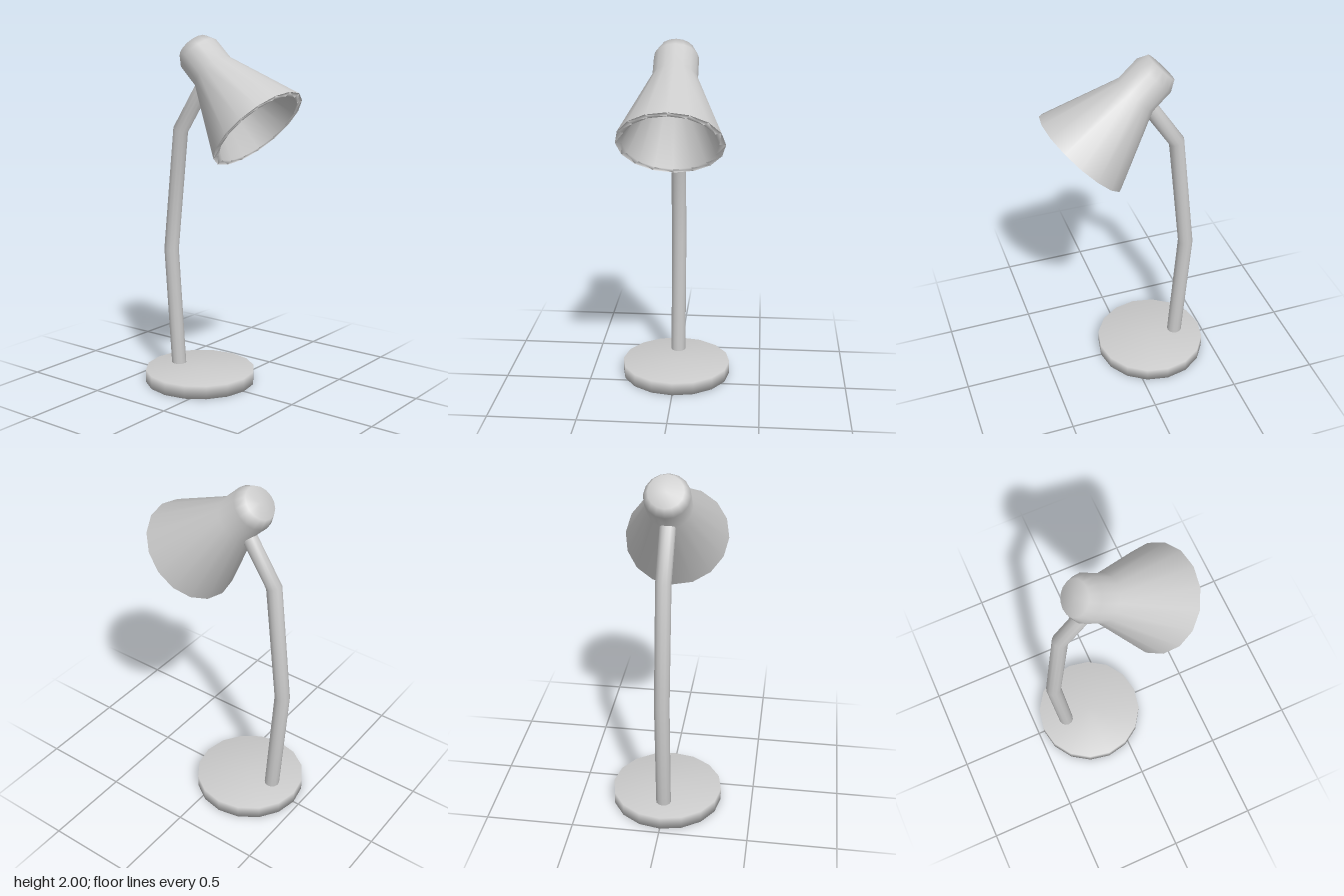
import * as THREE from 'three';
import { mergeVertices } from 'three/addons/utils/BufferGeometryUtils.js';

const SIDES = 16;
const material = new THREE.MeshStandardMaterial({ color: 0xcccccc });

// Turned part from [radius, height] pairs
function turned(name, profile) {
  const points = profile.map(([r, y]) => new THREE.Vector2(r, y));
  const mesh = new THREE.Mesh(new THREE.LatheGeometry(points, SIDES), material);
  mesh.name = name;
  return mesh;
}

// Round rod bent along a path in the xy plane, with mitred joints
function bentRod(name, path, radius, sides) {
  const pts = path.map(([x, y]) => new THREE.Vector2(x, y));
  const last = pts.length - 1;
  const geo = new THREE.CylinderGeometry(radius, radius, last, sides, last);
  const pos = geo.attributes.position;
  const dirs = pts.slice(1).map((p, i) => p.clone().sub(pts[i]).normalize());
  const joints = pts.map((p, i) => {
    const a = dirs[Math.max(i - 1, 0)];
    const b = dirs[Math.min(i, last - 1)];
    const t = a.clone().add(b).normalize();
    return { p, t, stretch: 1 / t.dot(a) };
  });
  for (let i = 0; i < pos.count; i++) {
    const { p, t, stretch } = joints[Math.round(pos.getY(i) + last / 2)];
    const offset = pos.getX(i) * stretch;
    pos.setXY(i, p.x + t.y * offset, p.y - t.x * offset);
  }
  geo.deleteAttribute('normal');
  geo.deleteAttribute('uv');
  const smooth = mergeVertices(geo);
  smooth.computeVertexNormals();
  const mesh = new THREE.Mesh(smooth, material);
  mesh.name = name;
  return mesh;
}

export function createModel() {
  const lamp = new THREE.Group();
  lamp.name = 'deskLamp';

  // Round foot
  const base = turned('base', [[0, 0], [0.318, 0], [0.318, 0.075], [0, 0.075]]);
  base.position.x = -0.147;
  lamp.add(base);

  // Bent arm, from inside the foot to inside the shade's neck
  lamp.add(bentRod('arm', [[-0.304, 0.03], [-0.358, 0.76], [-0.282, 1.465], [-0.105, 1.735]], 0.043, 12));

  // Hollow conical shade with its closed neck, opening down towards +x
  const shade = turned('shade', [
    [0, 0.36], [0.11, 0.36], [0.257, 0], [0.292, 0],
    [0.125, 0.42], [0.124, 0.557], [0.094, 0.614], [0, 0.614],
  ]);
  shade.position.set(0.2575, 1.505, 0);
  shade.rotation.z = Math.atan2(0.72, 0.694);
  lamp.add(shade);

  return lamp;
}
